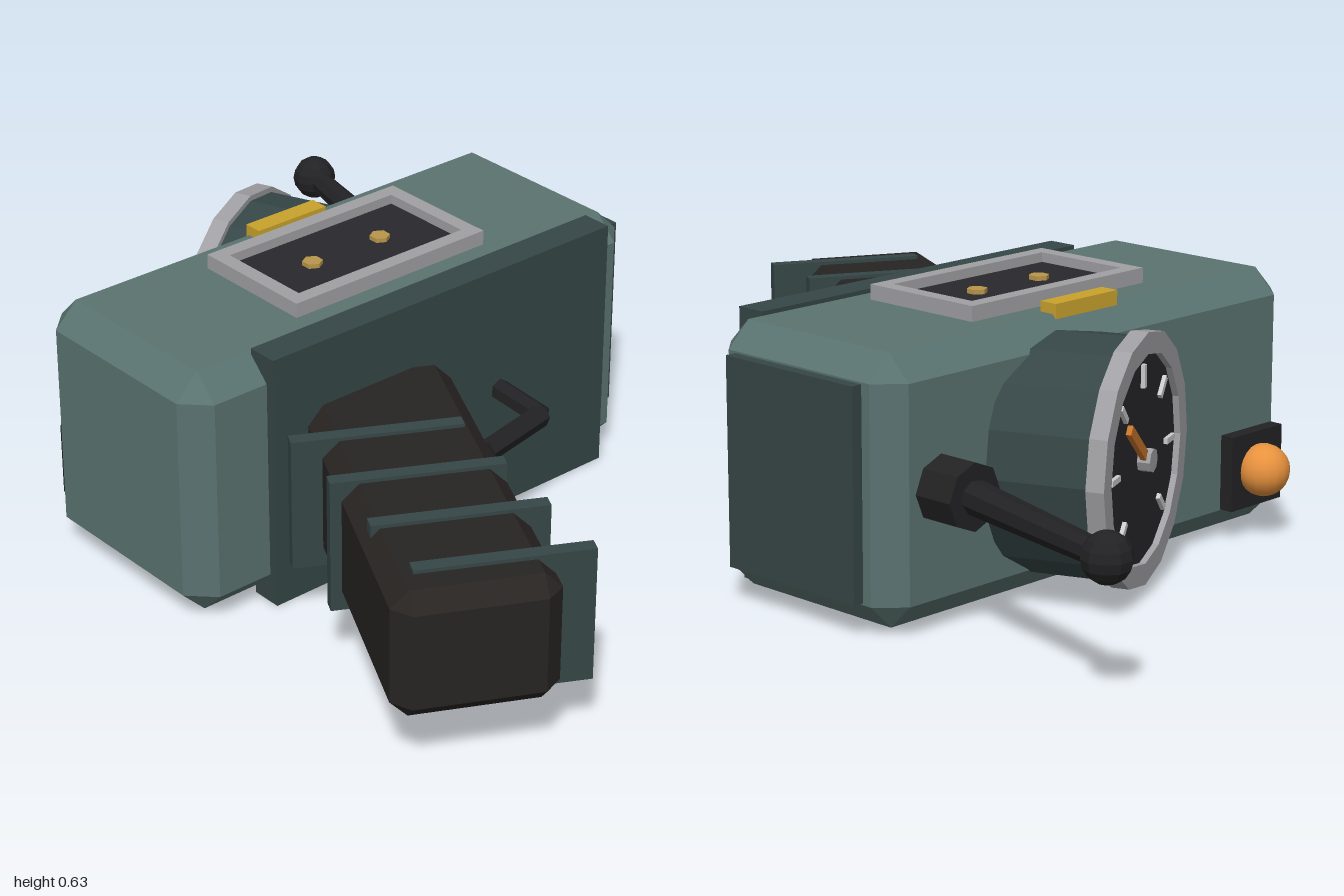
import * as THREE from 'three';
import { ConvexGeometry } from 'three/addons/geometries/ConvexGeometry.js';

const paint = (color, flatShading = true) => new THREE.MeshStandardMaterial({ color, flatShading });
const MAT = {
  body: paint(0x5a7370), dark: paint(0x364646), grip: paint(0x272422), black: paint(0x222224),
  metal: paint(0xa0a0a4), screen: paint(0x28282d), yellow: paint(0xc9a22c), dots: paint(0xb8964a),
  lamp: paint(0xe8923e, false), needle: paint(0xc8762a), tick: paint(0xcccccc),
};

function add(parent, name, geometry, material, x = 0, y = 0, z = 0) {
  const mesh = new THREE.Mesh(geometry, material);
  mesh.name = name;
  mesh.position.set(x, y, z);
  parent.add(mesh);
  return mesh;
}

const box = (w, h, d) => new THREE.BoxGeometry(w, h, d);

// Box with every edge cut at 45 degrees
function chamferBox(w, h, d, c) {
  const points = [];
  for (const sx of [-1, 1]) for (const sy of [-1, 1]) for (const sz of [-1, 1]) {
    for (let axis = 0; axis < 3; axis++) {
      const half = [w / 2, h / 2, d / 2].map((v, i) => (i === axis ? v : v - c));
      points.push(new THREE.Vector3(sx * half[0], sy * half[1], sz * half[2]));
    }
  }
  return new ConvexGeometry(points);
}

// Straight bar between two points
function bar(parent, name, a, b, r0, r1, sides, material) {
  const from = new THREE.Vector3(...a), dir = new THREE.Vector3(...b).sub(from);
  const mesh = add(parent, name, new THREE.CylinderGeometry(r1, r0, dir.length(), sides), material);
  mesh.position.copy(from).addScaledVector(dir, 0.5);
  mesh.quaternion.setFromUnitVectors(new THREE.Vector3(0, 1, 0), dir.normalize());
  return mesh;
}

// Disc-like cylinder facing +z, front at z
function disc(parent, name, r, depth, sides, material, z) {
  const geometry = new THREE.CylinderGeometry(r, r, depth, sides).rotateX(Math.PI / 2);
  return add(parent, name, geometry, material, 0, 0, z - depth / 2);
}

function buildGauge() {
  const gauge = new THREE.Group();
  gauge.name = 'gauge';
  gauge.position.set(0.043, 0.305, -0.55);
  gauge.rotation.y = Math.atan2(-0.39, -0.92);
  disc(gauge, 'gaugeDrum', 0.262, 0.24, 16, MAT.dark, -0.022);
  disc(gauge, 'gaugeFace', 0.235, 0.01, 16, MAT.screen, -0.014);

  // Rim with a square section
  const rim = [[0.228, -0.04], [0.275, -0.04], [0.275, 0], [0.228, 0], [0.228, -0.04]];
  const rimGeometry = new THREE.LatheGeometry(rim.map(p => new THREE.Vector2(...p)), 16).rotateX(Math.PI / 2);
  add(gauge, 'gaugeRim', rimGeometry, MAT.metal);

  for (let i = 0; i < 7; i++) {
    const a = (i - 3) * Math.PI / 4;
    const tick = add(gauge, 'gaugeTick', box(0.013, 0.05, 0.01), MAT.tick, Math.sin(a) * 0.18, Math.cos(a) * 0.18, -0.01);
    tick.rotation.z = -a;
  }
  const a = 0.9;
  const needle = add(gauge, 'gaugeNeedle', box(0.022, 0.15, 0.012), MAT.needle, -Math.sin(a) * 0.075, Math.cos(a) * 0.075, 0);
  needle.rotation.z = a;
  disc(gauge, 'gaugeHub', 0.026, 0.035, 8, MAT.metal, 0.015);
  return gauge;
}

export function createModel() {
  const model = new THREE.Group();
  model.name = 'handheldDetector';

  // Housing
  add(model, 'housing', chamferBox(1.26, 0.58, 0.535, 0.056), MAT.body, 0.01, 0.304, -0.123);
  add(model, 'frontPlate', box(0.967, 0.602, 0.073), MAT.dark, 0.057, 0.301, 0.13);
  add(model, 'sidePlate', box(0.08, 0.46, 0.38), MAT.dark, 0.626, 0.304, -0.122);

  // Top display
  const frame = new THREE.Shape([[-0.268, -0.153], [0.268, -0.153], [0.268, 0.153], [-0.268, 0.153]].map(p => new THREE.Vector2(...p)));
  frame.holes.push(new THREE.Path([[-0.233, -0.118], [-0.233, 0.118], [0.233, 0.118], [0.233, -0.118]].map(p => new THREE.Vector2(...p))));
  const frameGeometry = new THREE.ExtrudeGeometry(frame, { depth: 0.05, bevelEnabled: false }).rotateX(-Math.PI / 2);
  add(model, 'displayFrame', frameGeometry, MAT.metal, 0.009, 0.578, -0.113);
  add(model, 'displayScreen', box(0.48, 0.03, 0.25), MAT.screen, 0.009, 0.591, -0.113);
  for (const x of [-0.088, 0.106]) {
    add(model, 'displayDot', new THREE.CylinderGeometry(0.023, 0.023, 0.012, 6), MAT.dots, x, 0.61, -0.113);
  }
  add(model, 'labelBar', box(0.193, 0.04, 0.045), MAT.yellow, 0.009, 0.597, -0.322);

  // Gauge and warning lamp on the back
  model.add(buildGauge());
  add(model, 'lampBase', box(0.172, 0.172, 0.06), MAT.black, -0.476, 0.158, -0.394);
  add(model, 'lamp', new THREE.SphereGeometry(0.06, 16, 12), MAT.lamp, -0.476, 0.158, -0.444);

  // Antenna
  bar(model, 'antennaBase', [0.493, 0.304, -0.37], [0.493, 0.304, -0.487], 0.073, 0.073, 8, MAT.black);
  bar(model, 'antennaRod', [0.484, 0.304, -0.45], [0.607, 0.304, -0.945], 0.038, 0.027, 8, MAT.black);
  add(model, 'antennaTip', new THREE.SphereGeometry(0.053, 10, 8), MAT.black, 0.607, 0.304, -0.947);

  // Slanted grip with ribs
  const tilt = -0.475;
  const grip = add(model, 'grip', chamferBox(0.346, 0.29, 0.93, 0.037), MAT.grip, -0.315, 0.304, 0.507);
  grip.rotation.y = tilt;
  for (let i = 0; i < 4; i++) {
    const rib = add(model, 'gripRib', box(0.37, 0.306, 0.032), MAT.dark, -0.285 - i * 0.0437, 0.304, 0.33 + i * 0.177);
    rib.rotation.y = tilt - 0.015;
  }

  // Trigger guard
  const guard = [[-0.04, 0.25], [0.008, 0.352], [0.205, 0.314], [0.218, 0.15]];
  for (let i = 0; i < 3; i++) {
    const [a, b] = [guard[i], guard[i + 1]];
    bar(model, 'triggerGuard', [a[0], 0.302, a[1]], [b[0], 0.302, b[1]], 0.025, 0.025, 6, MAT.black);
  }
  return model;
}
